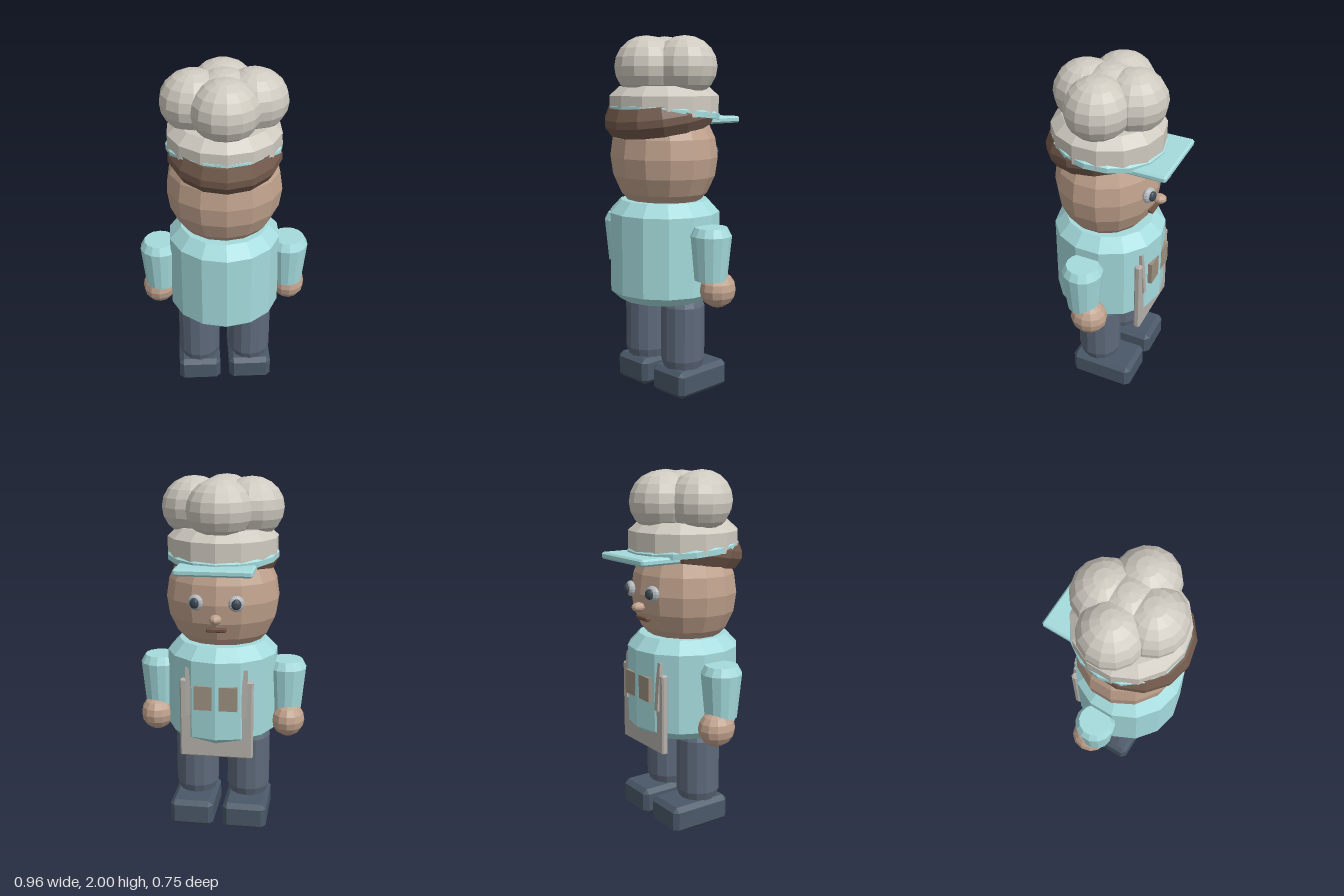
import * as THREE from 'three';
import { ConvexGeometry } from 'three/addons/geometries/ConvexGeometry.js';

const SIDES = 14;
const mat = (color) => new THREE.MeshStandardMaterial({ color, flatShading: true });

export function createModel() {
  const model = new THREE.Group();
  model.name = 'cook';

  const white = mat(0xcfcac0), teal = mat(0xa5dbdd), skin = mat(0xc0a28d), hairBrown = mat(0x735a4c);
  const trousers = mat(0x5d697a), shoe = mat(0x4a5868), panel = mat(0xb5b0aa), pocketTan = mat(0x9c9080);
  const mouthBrown = mat(0x6e5040), eyeGrey = mat(0xb4b8bc), pupilDark = mat(0x3c4854);

  function add(name, geometry, material, x, y, z) {
    const mesh = new THREE.Mesh(geometry, material);
    mesh.name = name;
    mesh.position.set(x, y, z);
    model.add(mesh);
    return mesh;
  }

  // closed turned solid from [radius, height] pairs, bottom to top
  function turned(profile, sides = SIDES) {
    const pts = profile.map(([r, y]) => new THREE.Vector2(r, y));
    pts.unshift(new THREE.Vector2(0, pts[0].y));
    pts.push(new THREE.Vector2(0, pts[pts.length - 1].y));
    return new THREE.LatheGeometry(pts, sides);
  }

  // faceted ellipsoid with a vertex column at front and back
  function ellipsoid(rx, ry, rz, sides = SIDES, rows = 10) {
    return new THREE.SphereGeometry(1, sides, rows).rotateY(Math.PI / 2).scale(rx, ry, rz);
  }

  // box with chamfered edges
  function chamferBox(w, h, d, c) {
    const pts = [];
    for (const sx of [-1, 1]) for (const sy of [-1, 1]) for (const sz of [-1, 1]) {
      const x = w / 2, y = h / 2, z = d / 2;
      pts.push(
        new THREE.Vector3(sx * x, sy * (y - c), sz * (z - c)),
        new THREE.Vector3(sx * (x - c), sy * y, sz * (z - c)),
        new THREE.Vector3(sx * (x - c), sy * (y - c), sz * z));
    }
    return new ConvexGeometry(pts);
  }

  // body and head
  add('torso', turned([[0.26, 0.535], [0.315, 0.585], [0.315, 1.03], [0.25, 1.1]]), teal, 0, 0, 0.025);
  add('head', ellipsoid(0.32, 0.34, 0.29), skin, 0, 1.34, 0.032);

  // face, looking towards -z
  add('nose', ellipsoid(0.034, 0.027, 0.04, 10, 8), skin, 0, 1.27, -0.27);
  add('mouth', chamferBox(0.11, 0.022, 0.03, 0.005), mouthBrown, 0, 1.205, -0.24);

  // hair wrapped low around the back of the head
  const hair = add('hair', turned([[0.22, -0.08], [0.285, -0.055], [0.315, 0], [0.312, 0.04], [0.28, 0.1]]),
    hairBrown, 0, 1.55, 0.06);
  hair.scale.x = 0.98;
  hair.rotation.x = 0.16;

  // cap and brim under the hat
  const cap = add('cap', turned([[0.312, -0.015], [0.312, 0.015], [0.27, 0.05]], 16), teal, 0, 1.58, 0.028);
  cap.rotation.x = -0.09;
  add('capBrim', chamferBox(0.418, 0.038, 0.26, 0.01), teal, 0, 1.54, -0.248);

  // hat band and puffed crown
  add('hatBand', turned([[0.308, 1.567], [0.308, 1.677], [0.25, 1.73]]), white, 0, 0, 0.03);
  for (const [x, z] of [[0, 0], [1, 0], [-1, 0], [0, 1], [0, -1]]) {
    add('hatPuff', ellipsoid(0.181, 0.167, 0.176), white, x * 0.157, 1.833, 0.021 + z * 0.136);
  }

  // paired parts
  for (const s of [-1, 1]) {
    const eye = add('eye', ellipsoid(0.044, 0.044, 0.026, 12, 8), eyeGrey, s * 0.11, 1.357, -0.25);
    const pupil = add('pupil', ellipsoid(0.027, 0.029, 0.018, 12, 8), pupilDark, s * 0.113, 1.357, -0.272);
    eye.rotation.y = pupil.rotation.y = -s * 0.3;

    add('sleeve', turned([[0.09, 0.69], [0.114, 0.935], [0.09, 0.98]]), teal, s * 0.367, 0, 0.023);
    add('hand', ellipsoid(0.096, 0.1, 0.106, 12, 8), skin, s * 0.383, 0.632, -0.018);
    add('leg', turned([[0.105, 0.14], [0.125, 0.2], [0.125, 0.51], [0.105, 0.56]]), trousers, s * 0.153, 0, 0.026);
    add('foot', chamferBox(0.252, 0.155, 0.376, 0.026), shoe, s * 0.154, 0.0775, -0.032);

    // apron strap leaning into the chest, and pocket
    const strap = add('apronStrap', new THREE.BoxGeometry(0.03, 0.27, 0.03), panel, s * 0.158, 0.85, -0.241);
    strap.rotation.x = 0.07;
    add('apronPocket', new THREE.BoxGeometry(0.1, 0.137, 0.03), pocketTan, s * 0.07, 0.826, -0.272);
  }

  // apron panel
  add('apron', chamferBox(0.41, 0.455, 0.037, 0.008), panel, 0, 0.693, -0.233);

  return model;
}
